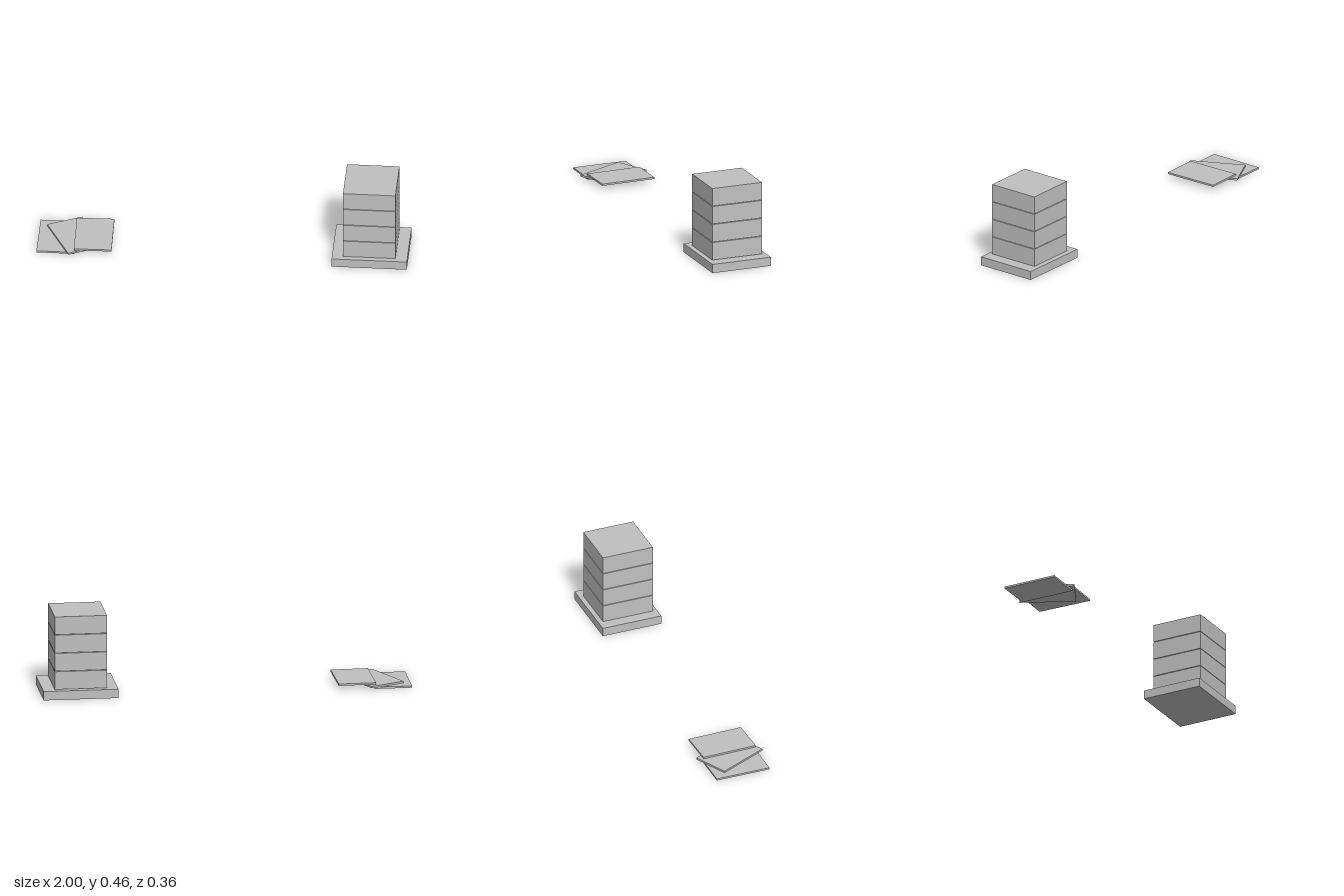
import * as THREE from 'three';

export function createModel() {
  const model = new THREE.Group();
  model.name = 'stackAndSheets';
  const gray = new THREE.MeshStandardMaterial({ color: 0xc0c0c0 });
  gray.name = 'lightGray';

  // Box resting with its underside at height y
  function slab(name, parent, [w, h, d], x, y, turn = 0) {
    const mesh = new THREE.Mesh(new THREE.BoxGeometry(w, h, d), gray);
    mesh.name = name;
    mesh.position.set(x, y + h / 2, 0);
    mesh.rotation.y = THREE.MathUtils.degToRad(turn);
    parent.add(mesh);
  }

  // Tray carrying a stack of four blocks with narrow gaps
  const stack = new THREE.Group();
  stack.name = 'stack';
  slab('tray', stack, [0.406, 0.049, 0.339], 0.797, 0);
  for (let i = 0; i < 4; i++) {
    slab(`block${i + 1}`, stack, [0.283, 0.0985, 0.289], 0.795, 0.052 + i * 0.1017);
  }

  // Three thin sheets fanned over one another
  const sheets = new THREE.Group();
  sheets.name = 'sheets';
  const size = [0.203, 0.01, 0.305];
  [[-0.8985, 0], [-0.802, 26], [-0.7, 1.3]].forEach(([x, turn], i) => {
    slab(`sheet${i + 1}`, sheets, size, x, i * 0.012, turn);
  });

  model.add(stack, sheets);
  return model;
}
